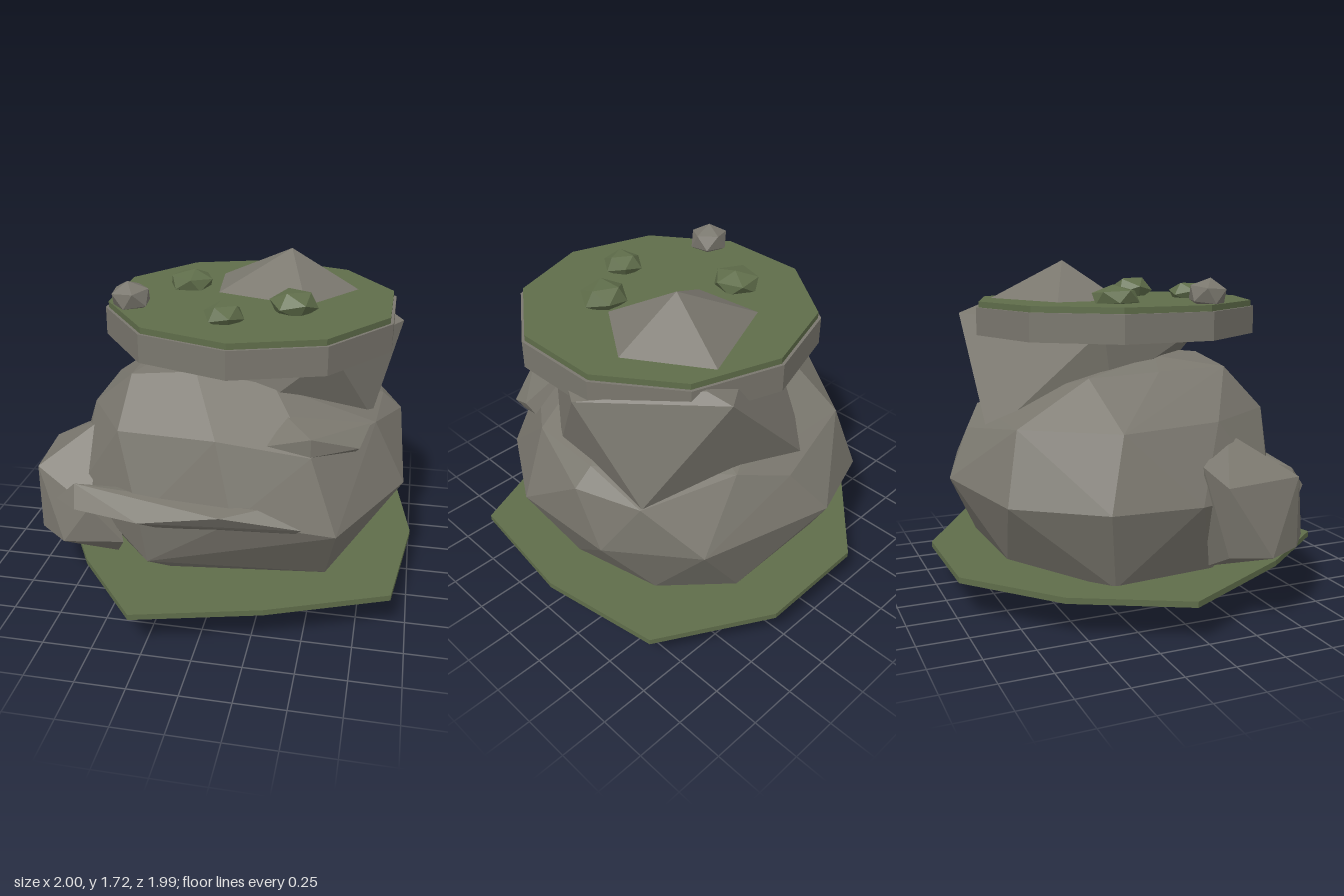
import * as THREE from 'three';
import { ConvexGeometry } from 'three/addons/geometries/ConvexGeometry.js';

export function createModel() {
  const model = new THREE.Group();
  const paint = (name, color) => {
    const m = new THREE.MeshStandardMaterial({ color, flatShading: true });
    m.name = name;
    return m;
  };
  const rock = paint('warm grey rock', 0x7a776e);
  const moss = paint('moss green', 0x5f6d4a);

  const add = (name, geometry, material, x = 0, y = 0, z = 0) => {
    const mesh = new THREE.Mesh(geometry, material);
    mesh.name = name;
    mesh.position.set(x, y, z);
    model.add(mesh);
    return mesh;
  };
  // Faceted stone spanned by a few corner points
  const stone = (name, corners) =>
    add(name, new ConvexGeometry(corners.map((c) => new THREE.Vector3(...c))), rock);

  // Main body, corners listed from the underside to the crown
  stone('mainRock', [
    [0.11, 0, -0.06], [-0.4, 0.06, 0.18], [-0.05, 0.05, 0.33], [0.37, 0.09, 0.1],
    [0.76, 0.26, 0], [0.58, 0.22, 0.45], [0.2, 0.2, 0.46], [-0.3, 0.31, 0.66], [-0.62, 0.2, 0.2],
    [-0.67, 0.2, -0.33], [-0.25, 0.27, -0.74], [0.35, 0.26, -0.75], [0.68, 0.3, -0.5],
    [0.94, 0.63, 0.17], [0.9, 0.6, -0.36], [0.62, 0.64, -0.78], [-0.05, 0.66, -0.97], [-0.5, 0.6, -0.8],
    [-0.8, 0.6, -0.4], [-0.83, 0.6, 0.05], [-0.7, 0.6, 0.48], [-0.32, 0.58, 0.71], [0.15, 0.63, 0.74],
    [0.64, 0.56, 0.67],
    [0.9, 0.89, -0.2], [0.78, 0.97, 0.2], [0.8, 0.97, -0.2], [0.78, 0.88, -0.52], [0.35, 0.96, -0.72],
    [0.1, 0.88, -0.84], [-0.4, 0.95, -0.72],
    [-0.7, 0.95, -0.3], [-0.68, 0.97, 0.2], [-0.45, 0.98, 0.57], [0.05, 1.0, 0.64], [0.5, 0.93, 0.59],
    [-0.43, 1.2, 0.36], [-0.43, 1.19, 0], [-0.27, 1.25, 0.05], [0.1, 1.25, 0.15], [0.28, 1.18, 0.33],
    [-0.1, 1.24, 0.37], [-0.38, 1.17, -0.35],
  ]);

  // Neck between the body and the flat cap, with downward wedges
  stone('neckRock', [
    [0.88, 1.38, -0.2], [0.77, 0.88, -0.52], [0.75, 0.95, 0.08], [0.56, 1.37, 0.34], [0.25, 1.1, 0.35],
    [-0.3, 1.4, 0.3], [-0.33, 1.4, -0.25], [-0.3, 1.1, -0.2], [-0.1, 0.86, -0.78],
    [0.46, 1.44, -0.78], [0.5, 1.48, -0.66],
  ]);

  // Boulder leaning on the side
  stone('sideBoulder', [
    [-0.98, 0.36, 0.34], [-0.94, 0.71, 0.12], [-0.78, 0.78, 0.07], [-0.9, 0.72, 0.52], [-0.63, 0.9, 0.28],
    [-0.9, 0.37, 0.52], [-0.74, 0.37, 0.65], [-0.6, 0.57, 0.63], [-0.44, 0.37, 0.6], [-0.52, 0.22, 0.45],
    [-0.7, 0.26, 0.15], [-0.9, 0.36, 0.15],
  ]);

  // Sharp ledges jutting from the front
  stone('longLedge', [
    [-0.78, 0.59, 0.6], [-0.67, 0.7, 0.63], [-0.65, 0.6, 0.71], [-0.3, 0.61, 0.8], [0.1, 0.68, 0.8],
    [0.27, 0.7, 0.72], [0.48, 0.61, 0.72], [0.45, 0.58, 0.7], [-0.23, 0.55, 0.72], [-0.3, 0.69, 0.6],
  ]);
  stone('upperLedge', [
    [0.29, 0.98, 0.6], [0.5, 1.04, 0.62], [0.5, 0.95, 0.62], [0.7, 0.92, 0.45], [0.72, 0.96, 0.5],
    [0.76, 1.03, 0.35], [0.74, 0.98, 0.3], [0.36, 1.07, 0.44],
  ]);

  // Ten-sided cap with a moss top
  add('capSlab', new THREE.CylinderGeometry(0.75, 0.75, 0.14, 10), rock, 0.118, 1.42, -0.02);
  add('capMoss', new THREE.CylinderGeometry(0.735, 0.735, 0.03, 10), moss, 0.118, 1.505, -0.02);

  // Low peak on the cap
  stone('peak', [
    [0.28, 1.72, -0.25], [-0.11, 1.519, -0.41], [0.39, 1.519, -0.62], [0.635, 1.519, -0.24],
    [0.4, 1.519, 0.1], [-0.07, 1.519, -0.05],
  ]);

  // Moss clumps and a pebble: centre, half sizes, turn
  const lumps = [
    ['mossClump', moss, [-0.235, 1.545, -0.15], [0.115, 0.06, 0.12], 0.4],
    ['mossClump', moss, [0.35, 1.555, 0.185], [0.115, 0.07, 0.11], 1.1],
    ['mossClump', moss, [0.045, 1.545, 0.39], [0.095, 0.06, 0.1], 2.0],
    ['pebble', rock, [-0.45, 1.565, 0.25], [0.1, 0.075, 0.095], 0.7],
  ];
  for (const [name, material, at, size, turn] of lumps) {
    const g = new THREE.IcosahedronGeometry(1.08, 0).rotateZ(turn).rotateY(turn).scale(...size);
    add(name, g, material, ...at);
  }

  // Irregular moss skirt around the foot
  const outline = [
    [-1, -0.06], [-0.72, -0.6], [-0.27, -0.99], [0.33, -1], [0.89, -0.68],
    [1, -0.05], [0.92, 0.59], [0.32, 0.83], [-0.31, 0.99], [-0.66, 0.56],
  ];
  const skirt = new THREE.Shape(outline.map(([x, z]) => new THREE.Vector2(x, -z)));
  const skirtGeometry = new THREE.ExtrudeGeometry(skirt, { depth: 0.03, bevelEnabled: false });
  add('mossSkirt', skirtGeometry.rotateX(-Math.PI / 2), moss, 0, 0.187, 0);

  return model;
}
